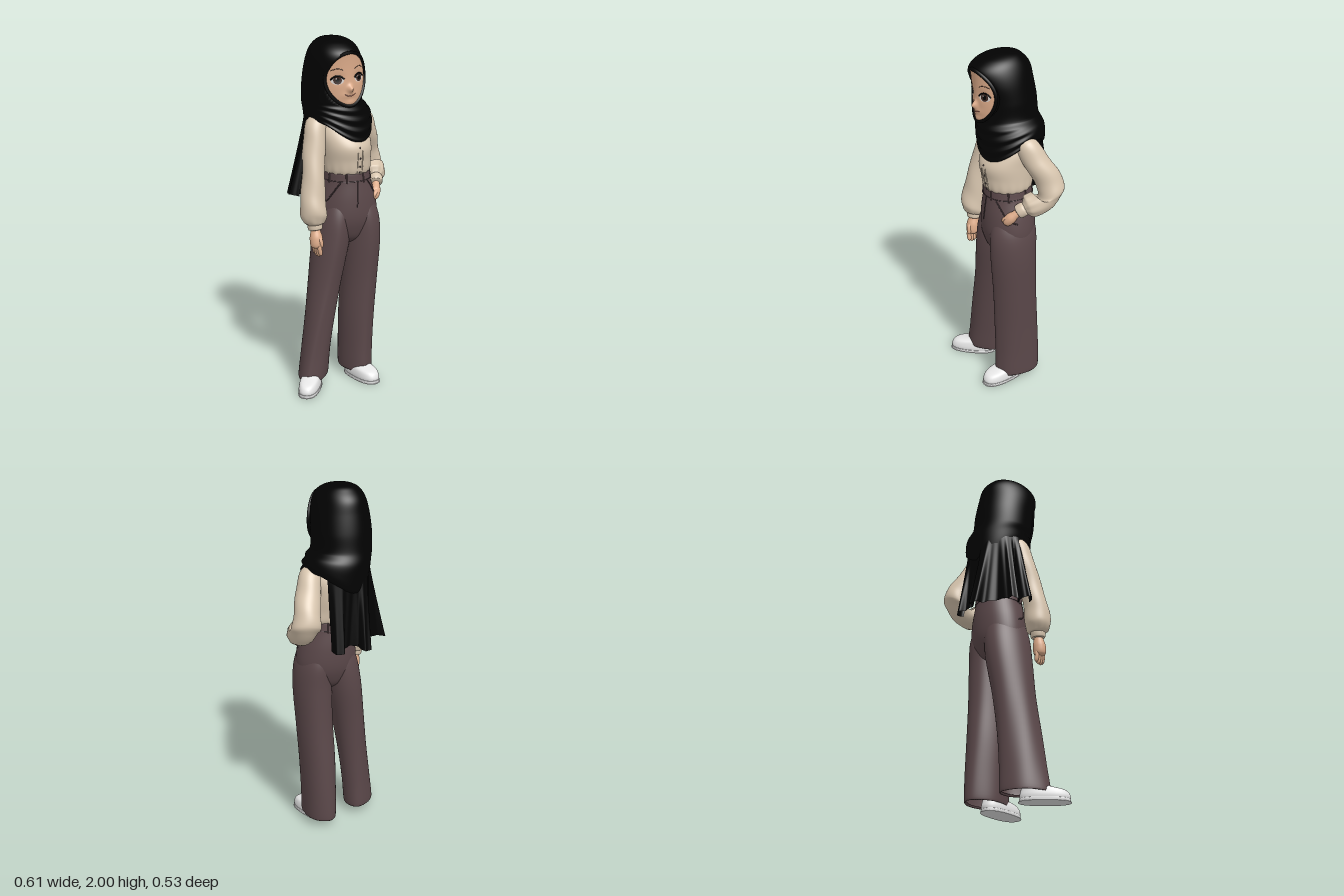
import * as THREE from 'three';
import { mergeVertices } from 'three/addons/utils/BufferGeometryUtils.js';

const V = (x, y, z) => new THREE.Vector3(x, y, z);
const mat = (name, color, side = THREE.FrontSide) => {
  const m = new THREE.MeshStandardMaterial({ color, side });
  m.name = name;
  return m;
};
const { sin, cos, exp, hypot, PI } = Math;
const smooth = THREE.MathUtils.smoothstep;

// Smooth interpolation through a table of rows, t in 0..1
function rowAt(rows, t) {
  const f = t * (rows.length - 1), i = Math.min(Math.floor(f), rows.length - 2), k = f - i;
  const r = (j) => rows[Math.max(0, Math.min(rows.length - 1, j))];
  return rows[i].map((_, c) => {
    const a = r(i - 1)[c], b = r(i)[c], d = r(i + 1)[c], e = r(i + 2)[c];
    const m0 = (d - a) / 2, m1 = (e - b) / 2;
    return b + k * m0 + k * k * (3 * (d - b) - 2 * m0 - m1) + k * k * k * (2 * (b - d) + m0 + m1);
  });
}

// Surface from a function of (u, v), smooth and welded
function grid(fn, nu, nv) {
  const pos = [], idx = [], w = nv + 1;
  for (let i = 0; i <= nu; i++) for (let j = 0; j <= nv; j++) pos.push(...fn(i / nu, j / nv).toArray());
  for (let i = 0; i < nu; i++) for (let j = 0; j < nv; j++) {
    const a = i * w + j, c = a + w;
    idx.push(a, c, a + 1, a + 1, c, c + 1);
  }
  let g = new THREE.BufferGeometry();
  g.setAttribute('position', new THREE.Float32BufferAttribute(pos, 3));
  g.setIndex(idx);
  g = mergeVertices(g, 1e-5);
  g.computeVertexNormals();
  return g;
}

// Horizontal elliptical rings, top to bottom: rows of [y, x, z, rx, rz, twist]; angle 0 is the front
const ring = (rows, yaw, warp) => (u, v) => {
  const [y, x, z, rx, rz, twist = 0] = rowAt(rows, u), a = v * 2 * PI, t = yaw + twist;
  const k = warp && warp.fold ? 1 + warp.fold(a, u) : 1;
  const lx = rx * sin(a) * k, lz = rz * cos(a) * k;
  const p = V(x + lx * cos(t) + lz * sin(t), y, z - lx * sin(t) + lz * cos(t));
  if (warp && warp.move) warp.move(p, a);
  return p;
};
const loft = (rows, yaw = 0, warp, nu = 40, nv = 56) => grid(ring(rows, yaw, warp), nu, nv);

// Round limb along a path: rows of [x, y, z, radius]
function limb(rows, fold, nu = 36, nv = 24) {
  const curve = new THREE.CatmullRomCurve3(rows.map((r) => V(r[0], r[1], r[2])));
  const fr = curve.computeFrenetFrames(nu);
  return grid((u, v) => {
    const i = Math.round(u * nu), a = -v * 2 * PI;
    const r = Math.max(0, rowAt(rows.map((q) => [q[3]]), u)[0]) * (fold ? 1 + fold(a, u) : 1);
    return curve.getPoint(u).addScaledVector(fr.normals[i], r * cos(a)).addScaledVector(fr.binormals[i], r * sin(a));
  }, nu, nv);
}
const cord = (pts, r, closed = false) =>
  new THREE.TubeGeometry(new THREE.CatmullRomCurve3(pts, closed), closed ? 64 : 20, r, 6, closed);

export function createModel() {
  const D = THREE.DoubleSide;
  const M = {
    scarf: mat('scarf black', 0x020202, D), shirt: mat('shirt cream', 0xd8c6af, D),
    trousers: mat('trouser brown', 0x5b484a, D), seam: mat('seam dark brown', 0x46383b),
    shoe: mat('shoe white', 0xf0f0f0), skin: mat('skin', 0xe0ae8c), white: mat('eye white', 0xd8d2ce),
    iris: mat('iris brown', 0x3a2620), brow: mat('brow brown', 0x5a4032), lips: mat('lips', 0xb5705f),
  };
  const model = new THREE.Group();
  const add = (name, geo, m, parent = model) => {
    const mesh = new THREE.Mesh(geo, m);
    mesh.name = name;
    parent.add(mesh);
    return mesh;
  };

  // Head: a turned, slightly tilted group, face built as a bulged egg patch
  const HY = 1.785, YAW = 0.2;
  const head = new THREE.Group();
  head.name = 'head';
  head.position.set(-0.03, HY, 0);
  head.rotation.set(0, YAW, 0.06);
  model.add(head);
  const bump = (x, y, cx, cy, sx, sy) => exp(-(((x - cx) / sx) ** 2) - ((y - cy) / sy) ** 2);
  const faceZ = (x, y) => 0.173 - 3.9 * x * x + (y > 0 ? 0.5 : -0.5) * y * y + 0.028 * bump(x, y, 0, -0.055, 0.016, 0.02)
    + 0.008 * bump(x, y, 0, -0.09, 0.04, 0.02) + 0.01 * bump(x, y, 0, -0.13, 0.03, 0.02)
    - 0.006 * (bump(x, y, 0.06, 0.005, 0.03, 0.025) + bump(x, y, -0.06, 0.005, 0.03, 0.025));
  const onFace = (x, y, off = 0) => V(x, y, faceZ(x, y) + off);
  const egg = (s, a) => {
    const up = sin(a);
    return [0.117 * s * cos(a) * (up < 0 ? 1 - 0.1 * up * up : 1), s * up * (up > 0 ? 0.138 : 0.143)];
  };
  const disc = (cx, cy, rx, ry, off) => grid((u, v) =>
    onFace(cx + rx * u * cos(v * 2 * PI), cy + ry * u * sin(v * 2 * PI), off), 6, 24);
  add('face', grid((u, v) => onFace(...egg(u, v * 2 * PI)), 30, 64), M.skin, head);
  const rim = Array.from({ length: 32 }, (_, i) => onFace(...egg(1.03, (i / 32) * 2 * PI), 0.001));
  add('scarfRim', cord(rim, 0.01, true), M.scarf, head);
  for (const s of [-1, 1]) {
    const cx = 0.065 * s, cy = -0.002;
    add('eyeWhite', disc(cx, cy, 0.032, 0.023, 0.002), M.white, head);
    add('iris', disc(cx, cy, 0.021, 0.021, 0.004), M.iris, head);
    add('pupil', disc(cx, cy, 0.01, 0.012, 0.005), M.scarf, head);
    add('eyeGlint', disc(cx - 0.007, cy + 0.009, 0.004, 0.004, 0.006), M.white, head);
    const arc = (w, h, y, off) => [-1, -0.5, 0, 0.5, 1].map((k) => onFace(cx + k * w, y + h * (1 - k * k), off));
    add('upperLash', cord(arc(0.034, 0.02, cy + 0.004, 0.003), 0.004), M.scarf, head);
    add('eyebrow', cord(arc(0.03, 0.01, 0.05, 0), 0.002), M.brow, head);
  }
  add('mouth', cord([-1, -0.5, 0, 0.5, 1].map((k) => onFace(k * 0.032, -0.091 + 0.008 * k * k, 0.0005)), 0.0025), M.lips, head);

  // Headscarf: hood that spreads over the shoulders, hollowed behind the face
  const hood = [
    [2.0, -0.04, 0, 0, 0], [1.99, -0.04, -0.005, 0.06, 0.07], [1.965, -0.04, 0.012, 0.105, 0.125],
    [1.92, -0.04, 0.02, 0.135, 0.168], [1.85, -0.04, 0.012, 0.155, 0.176], [1.75, -0.04, -0.01, 0.165, 0.172],
    [1.65, -0.037, -0.02, 0.168, 0.172], [1.58, -0.012, -0.028, 0.183, 0.186], [1.5, 0, -0.03, 0.187, 0.186],
    [1.44, 0.005, -0.028, 0.18, 0.182], [1.425, 0.005, -0.028, 0.165, 0.165],
  ];
  add('headscarf', loft(hood, 0.1, {
    move(p, a) {
      const dx = p.x + 0.03, ly = p.y - HY;
      const lx = dx * cos(YAW) - p.z * sin(YAW), lz = dx * sin(YAW) + p.z * cos(YAW);
      const e = hypot(lx / 0.117, ly / (ly > 0 ? 0.138 : 0.143));
      if (lz > 0) {
        const k = 0.06 * (1 - smooth(e, 0.82, 1.04));
        p.x -= k * sin(YAW); p.z -= k * cos(YAW);
      }
      // Draped cowl folds on the lower front, hem lifted over the turned shoulders
      const low = (1 - smooth(p.y, 1.6, 1.66)) * smooth(cos(a - 0.3), -0.1, 0.8);
      const f = 0.005 * low * sin(p.y * 105 + 2.6 * cos(a - 0.3));
      p.x += f * sin(a); p.z += f * cos(a);
      if (p.y < 1.65) p.y = 1.65 - (1.65 - p.y) * (1 - 0.5 * sin(a - 0.4) ** 2);
    },
  }, 90, 96), M.scarf);

  // Pleated tail of the scarf down the back and right side
  const plan = (pts) => new THREE.CatmullRomCurve3(pts.map(([x, z]) => V(x, 0, z)));
  const tailTop = plan([[0.1, -0.17], [0.04, -0.19], [-0.03, -0.19], [-0.08, -0.18], [-0.13, -0.16],
    [-0.16, -0.12], [-0.18, -0.08], [-0.185, -0.04], [-0.19, -0.01], [-0.185, 0.02]]);
  const tailHem = plan([[0.085, -0.2], [0.08, -0.245], [0.04, -0.26], [0.02, -0.22], [-0.02, -0.205],
    [-0.065, -0.215], [-0.085, -0.255], [-0.125, -0.245], [-0.125, -0.185], [-0.16, -0.13], [-0.22, -0.09],
    [-0.275, -0.085], [-0.28, -0.05], [-0.215, -0.02], [-0.28, -0.01], [-0.292, 0.025], [-0.24, 0.042]]);
  add('scarfTail', grid((u, v) => {
    const p = tailTop.getPoint(v).lerp(tailHem.getPoint(v), u ** 1.1);
    const f = 0.004 * u * sin(v * 80);
    return V(p.x + f, 1.56 - u * (0.435 + 0.012 * sin(v * 19)), p.z + f);
  }, 24, 120), M.scarf);

  // Blouse, tucked in at the waist, with button placket
  const TY = 0.25;
  const torso = [
    [1.62, 0, -0.02, 0.05, 0.05], [1.57, 0.005, -0.025, 0.12, 0.08], [1.49, 0.015, -0.02, 0.155, 0.125],
    [1.4, 0.028, 0, 0.148, 0.158], [1.32, 0.035, 0.003, 0.14, 0.146], [1.265, 0.038, 0.003, 0.135, 0.138],
    [1.235, 0.038, 0.003, 0.122, 0.122],
  ];
  const blouseWarp = { fold: (a, u) => 0.014 * smooth(u, 0.6, 0.95) * sin(a * 17) };
  const onBlouse = ring(torso, TY, blouseWarp);
  add('blouse', loft(torso, TY, blouseWarp, 40, 96), M.shirt);
  for (const v of [-0.012, 0.022])
    add('placketEdge', cord([0.4, 0.55, 0.7, 0.85, 0.93].map((u) => onBlouse(u, v)), 0.0025), M.shirt);
  for (let i = 0; i < 4; i++) {
    const b = add('button', new THREE.SphereGeometry(0.005, 8, 6), M.seam);
    b.position.copy(onBlouse(0.5 + i * 0.12, 0.005));
  }

  // Sleeves with gathered cuffs
  const gather = (from) => (a, u) => 0.05 * smooth(u, from, 1) * sin(a * 9) + 0.025 * sin(u * 30 + a * 2);
  add('rightSleeve', limb([[-0.1, 1.58, 0, 0.02], [-0.135, 1.53, 0.02, 0.058], [-0.16, 1.42, 0.05, 0.062],
    [-0.175, 1.28, 0.085, 0.062], [-0.187, 1.14, 0.112, 0.068], [-0.188, 1.04, 0.126, 0.074],
    [-0.183, 0.99, 0.128, 0.055], [-0.182, 0.98, 0.128, 0.03]], gather(0.7), 48, 48), M.shirt);
  add('rightCuff', limb([[-0.184, 1.0, 0.126, 0.03], [-0.183, 0.992, 0.126, 0.041], [-0.18, 0.955, 0.13, 0.039],
    [-0.18, 0.95, 0.13, 0.02]]), M.shirt);
  add('leftSleeve', limb([[0.11, 1.57, -0.04, 0.02], [0.15, 1.525, -0.06, 0.06], [0.187, 1.43, -0.11, 0.068],
    [0.213, 1.33, -0.167, 0.074], [0.226, 1.255, -0.18, 0.08], [0.232, 1.215, -0.115, 0.073],
    [0.228, 1.19, -0.05, 0.062], [0.224, 1.18, -0.025, 0.03]], gather(0.65), 48, 48), M.shirt);
  add('leftCuff', limb([[0.226, 1.185, -0.035, 0.03], [0.225, 1.18, -0.025, 0.04], [0.217, 1.16, 0.005, 0.037],
    [0.216, 1.157, 0.009, 0.02]]), M.shirt);

  // Hands: right one hangs, left one slips into the pocket
  add('rightPalm', limb([[-0.18, 0.97, 0.13, 0.02], [-0.18, 0.945, 0.132, 0.027], [-0.178, 0.905, 0.138, 0.036],
    [-0.176, 0.86, 0.142, 0.032], [-0.176, 0.84, 0.143, 0]]), M.skin);
  for (let i = 0; i < 4; i++) {
    const z = 0.117 + i * 0.016, x = -0.184 + i * 0.006, tip = 0.805 - 0.008 * (i % 3 ? 1 : 0);
    add('rightFinger', limb([[x, 0.885, z, 0.01], [x, 0.85, z + 0.002, 0.0125], [x + 0.006, tip + 0.014, z, 0.011],
      [x + 0.008, tip, z, 0]], null, 12, 10), M.skin);
  }
  add('rightThumb', limb([[-0.17, 0.925, 0.15, 0.01], [-0.16, 0.895, 0.166, 0.013], [-0.155, 0.865, 0.168, 0.01],
    [-0.155, 0.853, 0.168, 0]], null, 12, 10), M.skin);
  add('leftHand', limb([[0.218, 1.165, 0, 0.02], [0.212, 1.145, 0.02, 0.023], [0.2, 1.12, 0.042, 0.03],
    [0.182, 1.09, 0.06, 0.025], [0.172, 1.07, 0.065, 0]]), M.skin);
  add('leftThumb', limb([[0.208, 1.14, 0.035, 0.009], [0.196, 1.125, 0.066, 0.011], [0.182, 1.105, 0.08, 0.009],
    [0.177, 1.093, 0.083, 0]], null, 12, 10), M.skin);

  // Trousers: hips, then two wide legs with pressed creases
  const hips = [
    [1.258, 0.038, 0.003, 0.122, 0.124], [1.25, 0.038, 0.003, 0.13, 0.132], [1.2, 0.04, 0.002, 0.137, 0.136],
    [1.1, 0.043, 0.002, 0.163, 0.146], [1.0, 0.045, 0.003, 0.175, 0.146], [0.93, 0.042, 0.004, 0.165, 0.13],
    [0.87, 0.04, 0.006, 0.1, 0.1], [0.83, 0.04, 0.008, 0.03, 0.04],
  ];
  const onHips = ring(hips, 0.1);
  add('trouserHips', loft(hips, 0.1), M.trousers);
  const crease = { fold: (a, u) => 0.03 * smooth(u, 0.1, 0.3) * exp(-((sin(a / 2) / 0.12) ** 2)) + 0.018 * u * sin(a * 5 + u * 4) };
  add('rightTrouserLeg', loft([[1.12, -0.02, 0.01, 0.07, 0.1, 0.1], [1.0, -0.036, 0.012, 0.096, 0.134, 0.1],
    [0.85, -0.057, 0.013, 0.104, 0.139, 0.1], [0.62, -0.095, 0.022, 0.094, 0.124, 0], [0.4, -0.128, 0.032, 0.086, 0.121, -0.2],
    [0.2, -0.155, 0.037, 0.083, 0.125, -0.35], [0.06, -0.171, 0.04, 0.083, 0.133, -0.42],
    [0.062, -0.171, 0.04, 0.074, 0.12, -0.42]], -0.1, crease), M.trousers);
  add('leftTrouserLeg', loft([[1.12, 0.1, 0, 0.07, 0.1], [1.0, 0.123, 0.0, 0.096, 0.134], [0.85, 0.13, 0, 0.104, 0.134],
    [0.62, 0.122, -0.012, 0.1, 0.128], [0.4, 0.111, -0.025, 0.097, 0.13], [0.2, 0.107, -0.035, 0.092, 0.133],
    [0.055, 0.106, -0.037, 0.089, 0.135], [0.057, 0.106, -0.037, 0.08, 0.12]], 0.14, crease), M.trousers);
  const circle = (u, n = 24) => Array.from({ length: n }, (_, i) => onHips(u, i / n));
  add('waistbandSeam', cord(circle(0.27), 0.0025, true), M.seam);
  for (let i = 0; i < 8; i++)
    add('beltLoop', cord([0.12, 0.2, 0.29].map((u) => onHips(u, (i + 0.5) / 8)), 0.005), M.trousers);
  add('flySeam', cord([0.27, 0.34, 0.41, 0.48].map((u, i) => onHips(u, 0.015 - i * 0.005)), 0.003), M.seam);
  for (const s of [-1, 1])
    add('pocketEdge', cord([[0.28, 0.1], [0.33, 0.125], [0.38, 0.15], [0.43, 0.18], [0.46, 0.23]].map(([u, v]) =>
      onHips(u, (s * v + 1) % 1)), 0.004), M.seam);

  // Shoes, broad and blunt at the toe
  const shoe = (name, x, z, yaw, wide) => {
    const g = new THREE.Group();
    g.name = name;
    g.position.set(x, 0, z);
    g.rotation.y = yaw;
    model.add(g);
    const blunt = { fold: (a) => 0.07 * sin(2 * a) ** 2 };
    add('upper', loft([[0.12, 0, -0.075, 0, 0], [0.118, 0, -0.075, 0.036, 0.045], [0.085, 0, -0.045, 0.045, 0.078],
      [0.064, 0, -0.008, wide - 0.006, 0.118], [0.035, 0, 0, wide - 0.001, 0.133], [0.012, 0, 0, wide - 0.003, 0.131]],
    0, blunt, 24, 40), M.shoe, g);
    add('sole', loft([[0.018, 0, 0, wide - 0.008, 0.125], [0.017, 0, 0, wide, 0.135], [0.003, 0, 0, wide - 0.001, 0.134],
      [0, 0, 0, wide - 0.003, 0.13], [0, 0, 0, 0, 0]], 0, blunt, 16, 40), M.shoe, g);
    for (let i = 0; i < 3; i++)
      add('lace', cord([V(-0.026, 0.064, 0.02 + i * 0.02), V(0, 0.076 - i * 0.003, 0.02 + i * 0.02), V(0.026, 0.064, 0.02 + i * 0.02)], 0.004), M.shoe, g);
  };
  shoe('rightShoe', -0.217, 0.134, -0.5, 0.059);
  shoe('leftShoe', 0.12, 0.06, 0.33, 0.064);
  return model;
}
